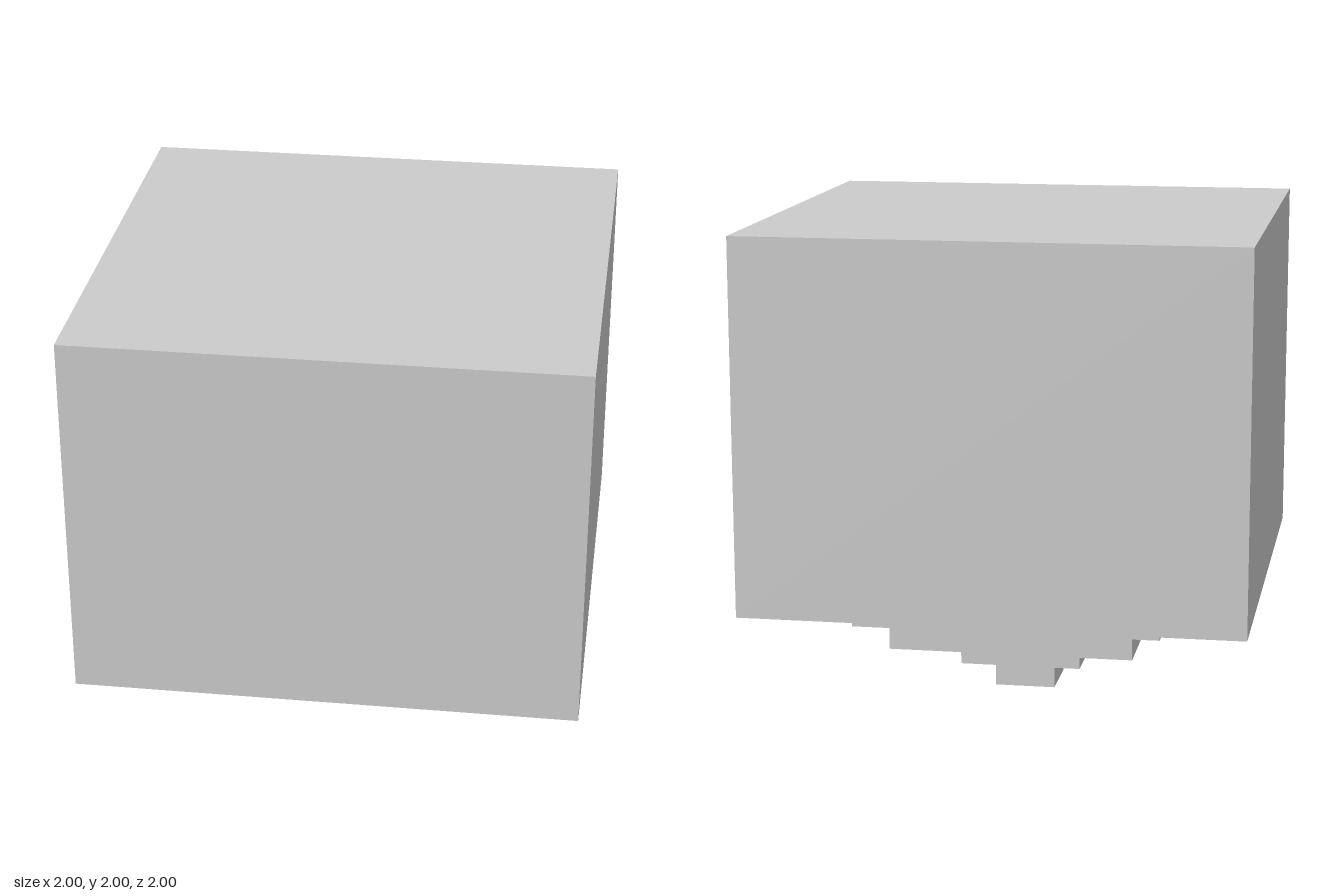
import * as THREE from 'three';

export function createModel() {
  const group = new THREE.Group();
  const material = new THREE.MeshStandardMaterial({ color: 0xcccccc, flatShading: true });

  // Square block of the given width, standing on height y
  const addBlock = (name, width, height, y) => {
    const mesh = new THREE.Mesh(new THREE.BoxGeometry(width, height, width), material);
    mesh.name = name;
    mesh.position.y = y + height / 2;
    group.add(mesh);
  };

  // Stepped base, widening upwards
  const step = 0.125;
  [0.25, 0.5, 1, 1.25].forEach((width, i) => addBlock(`baseStep${i + 1}`, width, step, i * step));

  // Large block on top
  addBlock('body', 2, 1.5, 4 * step);

  return group;
}
